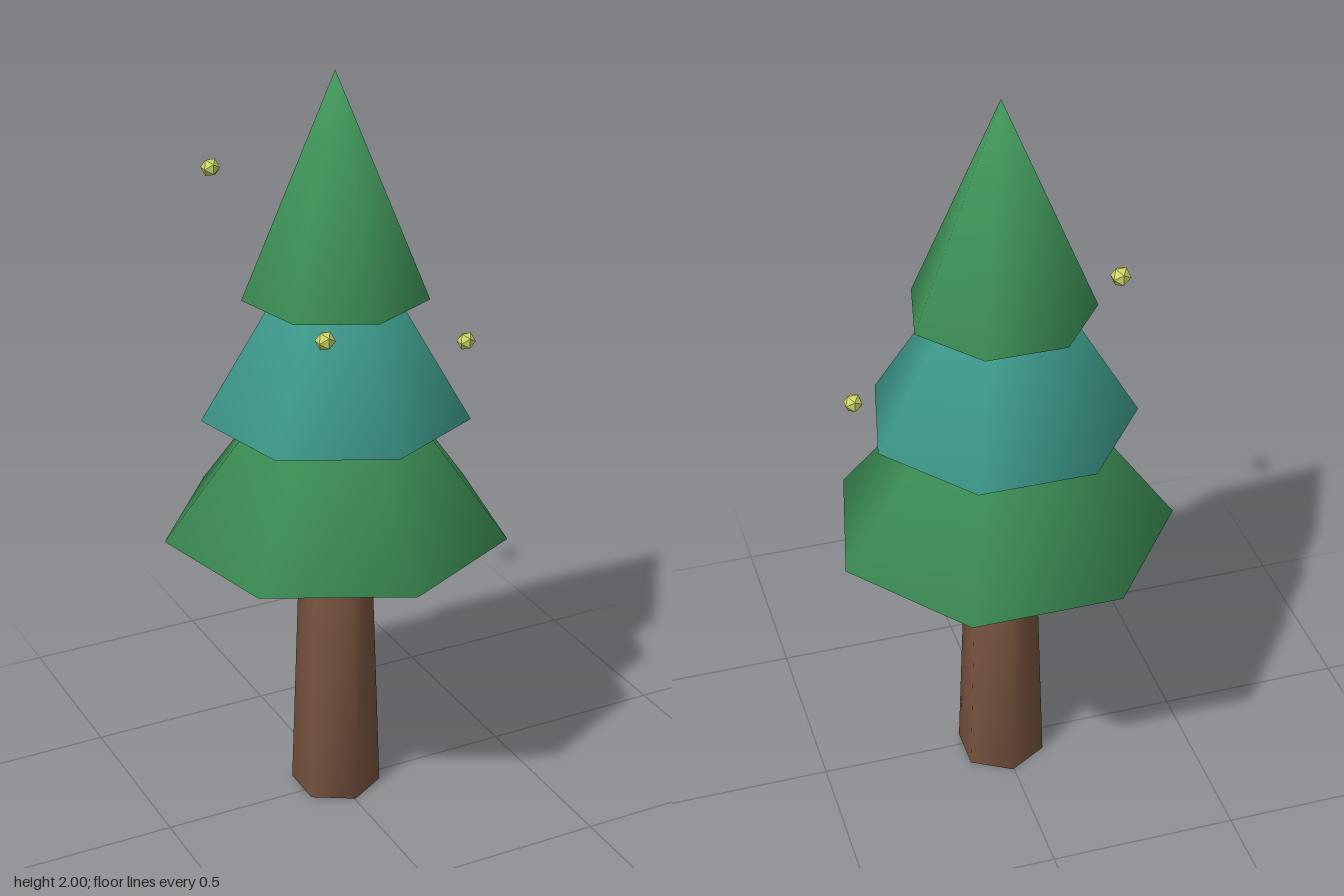
import * as THREE from 'three';
import { mergeVertices } from 'three/addons/utils/BufferGeometryUtils.js';

// Weld all corners so the shading runs smoothly over the rims
function smooth(geometry) {
  geometry.deleteAttribute('normal');
  geometry.deleteAttribute('uv');
  const welded = mergeVertices(geometry, 1e-4);
  welded.computeVertexNormals();
  return welded;
}

function material(name, color) {
  const m = new THREE.MeshStandardMaterial({ color });
  m.name = name;
  return m;
}

export function createModel() {
  const group = new THREE.Group();
  group.name = 'tree';
  const green = material('leaf green', 0x429a5c);
  const teal = material('teal', 0x43a797);
  const brown = material('bark brown', 0x7a5540);
  const yellow = material('yellow', 0xcdd566);

  function add(name, geometry, mat, x, y, z) {
    const mesh = new THREE.Mesh(geometry, mat);
    mesh.name = name;
    mesh.position.set(x, y, z);
    group.add(mesh);
    return mesh;
  }

  // Tapered six-sided trunk
  add('trunk', smooth(new THREE.CylinderGeometry(0.092, 0.12, 0.8, 6)), brown, 0.003, 0.4, -0.02);

  // Three overlapping seven-sided foliage cones: name, radius, base, top, material
  const tiers = [
    ['lowerFoliage', 0.452, 0.785, 1.38, green],
    ['middleFoliage', 0.349, 1.115, 1.69, teal],
    ['upperFoliage', 0.24, 1.43, 2.0, green],
  ];
  for (const [name, radius, base, top, mat] of tiers) {
    add(name, smooth(new THREE.ConeGeometry(radius, top - base, 7)), mat, 0.003, (base + top) / 2, -0.02);
  }

  // Small faceted lights floating around the foliage
  const lightGeometry = new THREE.IcosahedronGeometry(0.025, 0);
  const lights = [[-0.183, 1.684, -0.355], [-0.188, 1.455, 0.307], [0.384, 1.226, -0.022]];
  lights.forEach(([x, y, z], i) => add('floatingLight' + (i + 1), lightGeometry, yellow, x, y, z));

  return group;
}
